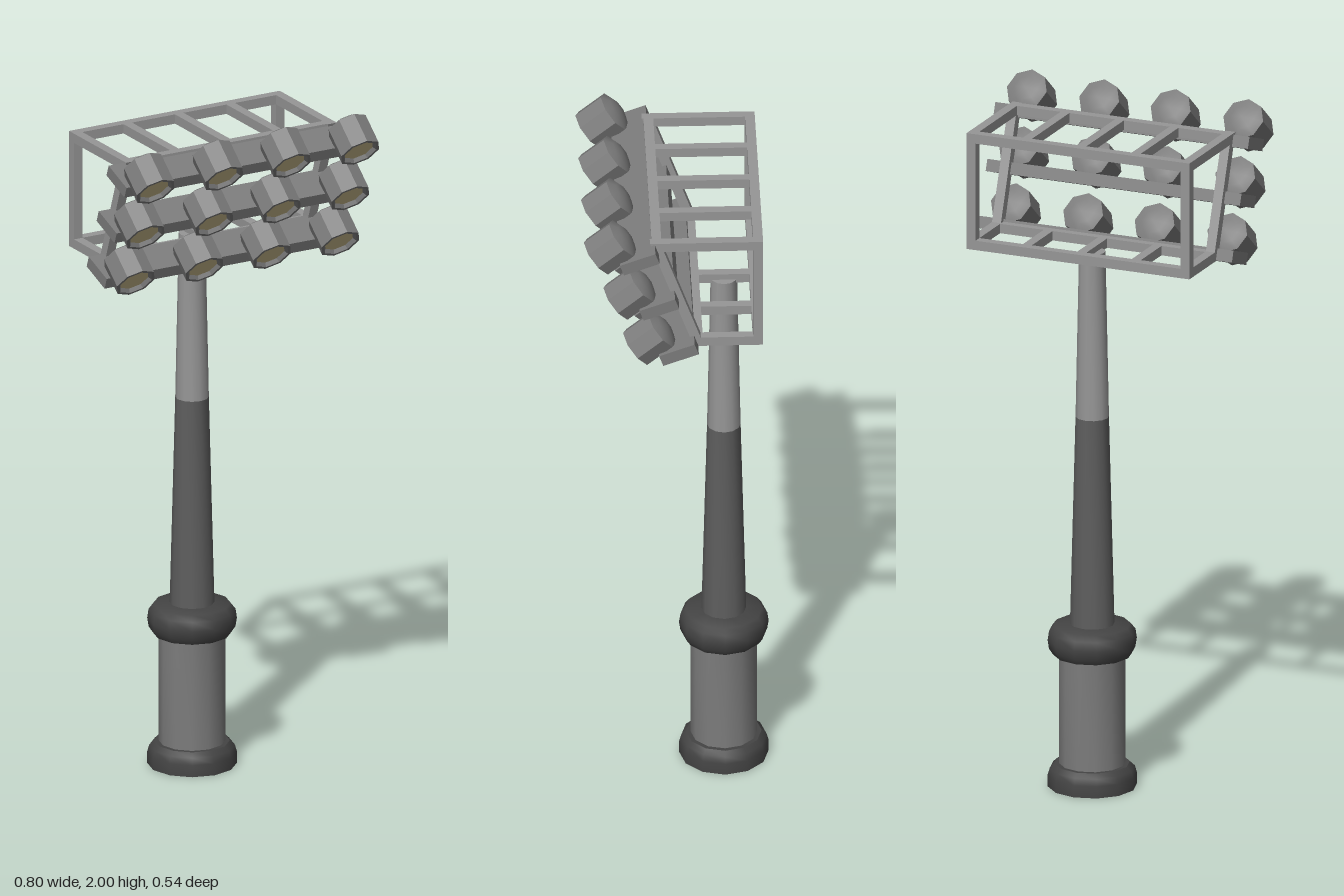
import * as THREE from 'three';
import { toCreasedNormals } from 'three/addons/utils/BufferGeometryUtils.js';

const material = (name, color, side = THREE.FrontSide) => {
  const m = new THREE.MeshStandardMaterial({ color, side });
  m.name = name;
  return m;
};

export function createModel() {
  const lightSteel = material('light steel', 0x969696);
  const steel = material('steel', 0x7c7c7c);
  const darkSteel = material('dark steel', 0x5e5e5e);
  const iron = material('iron', 0x444444);
  const glass = material('warm glass', 0xcabb8c);

  const model = new THREE.Group();
  model.name = 'floodlightTower';
  const add = (parent, name, geometry, mat, x = 0, y = 0, z = 0) => {
    const mesh = new THREE.Mesh(geometry, mat);
    mesh.name = name;
    mesh.position.set(x, y, z);
    parent.add(mesh);
    return mesh;
  };
  const lathe = (points, sides, crease = 0.7) => toCreasedNormals(
    new THREE.LatheGeometry(points.map(([r, y]) => new THREE.Vector2(r, y)), sides), crease);

  // Mast: hollow foot ring, column, rounded collar and a two-part tapered pole
  const mast = new THREE.Group();
  mast.name = 'mast';
  mast.position.z = -0.143;
  model.add(mast);
  add(mast, 'footRing', lathe([[0.1, 0], [0.128, 0], [0.128, 0.035], [0.122, 0.055],
    [0.108, 0.068], [0.09, 0.068], [0.1, 0.04], [0.1, 0]], 12), iron);
  add(mast, 'column', lathe([[0, 0.045], [0.095, 0.045], [0.095, 0.41], [0, 0.41]], 12), steel);
  add(mast, 'collar', lathe([[0.09, 0.392], [0.112, 0.394], [0.124, 0.412], [0.128, 0.438],
    [0.124, 0.465], [0.11, 0.482], [0.055, 0.486]], 12, 0.9), iron);
  add(mast, 'lowerPole', lathe([[0.064, 0.48], [0.048, 1.105]], 12), darkSteel);
  add(mast, 'upperPole', lathe([[0.048, 1.105], [0.038, 1.6], [0, 1.6]], 12), lightSteel);

  // Head frame: two slanted end frames joined by long rails and cross bars
  const frame = new THREE.Group();
  frame.name = 'headFrame';
  model.add(frame);
  const bar = 0.028, half = 0.348, yLow = 1.604, yHigh = 1.923;
  const toPoints = list => list.map(([z, y]) => new THREE.Vector2(z, y));
  const outline = new THREE.Shape(toPoints(
    [[-0.243, 1.59], [-0.045, 1.59], [0.08, 1.937], [-0.243, 1.937]]));
  outline.holes.push(new THREE.Path(toPoints(
    [[-0.215, 1.618], [-0.215, 1.909], [0.04, 1.909], [-0.065, 1.618]])));
  const endFrame = new THREE.ExtrudeGeometry(outline, { depth: bar, bevelEnabled: false });
  endFrame.rotateY(-Math.PI / 2);
  add(frame, 'leftEndFrame', endFrame, lightSteel, half);
  add(frame, 'rightEndFrame', endFrame, lightSteel, -half + bar);

  const rail = new THREE.BoxGeometry(2 * (half - bar), bar, bar);
  for (const [y, z] of [[yLow, -0.229], [yLow, -0.057], [yHigh, -0.229], [yHigh, 0.061]])
    add(frame, 'longRail', rail, lightSteel, 0, y, z);
  for (const x of [-0.17, 0, 0.17]) {
    add(frame, 'upperCrossBar', new THREE.BoxGeometry(bar, bar, 0.262), lightSteel, x, yHigh, -0.084);
    add(frame, 'lowerCrossBar', new THREE.BoxGeometry(bar, bar, 0.146), lightSteel, x, yLow, -0.143);
  }

  // Lamp parts, built along y with the domed back at the top
  const lampWall = lathe([[0.045, -0.034], [0.053, -0.047], [0.062, -0.047], [0.062, 0.047],
    [0.036, 0.06], [0, 0.065]], 8, 0.5);
  const lampLens = new THREE.CircleGeometry(0.046, 8);
  lampLens.rotateX(Math.PI / 2);
  const plank = new THREE.BoxGeometry(0.794, 0.035, 0.108);

  // Three rows, each a tilted plank carrying four lamps
  for (let row = 0; row < 3; row++) {
    const group = new THREE.Group();
    group.name = 'lampRow';
    group.position.set(0, -0.154 * row, -0.056 * row);
    model.add(group);
    add(group, 'plank', plank, steel, -0.001, 1.898, 0.111).rotation.x = 0.35;
    for (const x of [-0.338, -0.111, 0.112, 0.338]) {
      const lamp = new THREE.Group();
      lamp.name = 'lamp';
      lamp.position.set(x, 1.922, 0.193);
      lamp.rotation.x = -0.882;
      group.add(lamp);
      add(lamp, 'lampHousing', lampWall, steel);
      add(lamp, 'lampLens', lampLens, glass, 0, -0.036, 0);
    }
  }
  return model;
}
